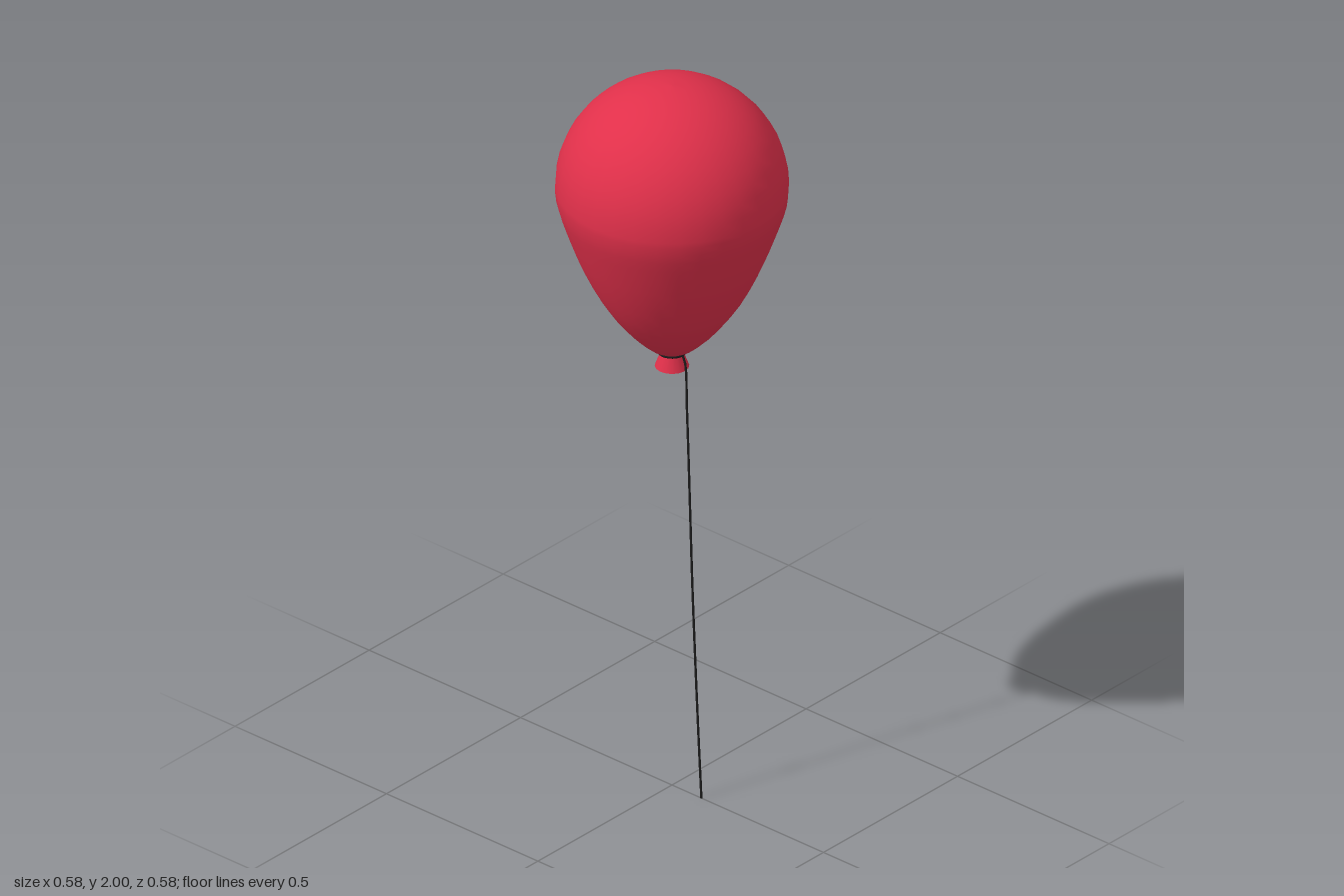
import * as THREE from 'three';

export function createModel() {
  const model = new THREE.Group();
  const red = new THREE.MeshStandardMaterial({ color: 0xe0304a });
  const dark = new THREE.MeshStandardMaterial({ color: 0x1c1c1c });

  const add = (name, geometry, material) => {
    const mesh = new THREE.Mesh(geometry, material);
    mesh.name = name;
    model.add(mesh);
    return mesh;
  };

  // Balloon: tapered lower half flowing into a round dome
  const radius = 0.29, centre = 1.715;
  const lower = new THREE.SplineCurve([
    [0.03, 1.243], [0.065, 1.265], [0.118, 1.32], [0.175, 1.4],
    [0.225, 1.5], [0.263, 1.6], [0.285, 1.67], [radius, centre],
  ].map(([x, y]) => new THREE.Vector2(x, y)));
  const profile = [new THREE.Vector2(0, 1.243), ...lower.getPoints(16)];
  for (let i = 1; i <= 12; i++) {
    const a = (i / 12) * Math.PI / 2;
    profile.push(new THREE.Vector2(i === 12 ? 0 : radius * Math.cos(a), centre + 0.285 * Math.sin(a)));
  }
  add('balloon', new THREE.LatheGeometry(profile, 32), red);

  // Flared knot under the balloon
  add('knot', new THREE.CylinderGeometry(0.024, 0.043, 0.05, 16), red).position.y = 1.225;

  // Loop of string tied around the neck
  const loop = add('stringLoop', new THREE.TorusGeometry(0.034, 0.004, 6, 24), dark);
  loop.rotation.x = Math.PI / 2;
  loop.position.y = 1.243;

  // Hanging string, drifting to the side
  const path = new THREE.CatmullRomCurve3([
    [0.034, 1.245], [0.044, 1.22], [0.049, 1.1], [0.053, 1.0],
    [0.06, 0.8], [0.067, 0.6], [0.076, 0.4], [0.086, 0.2], [0.097, 0],
  ].map(([x, y]) => new THREE.Vector3(x, y, 0)));
  add('string', new THREE.TubeGeometry(path, 48, 0.003, 6), dark);

  return model;
}
